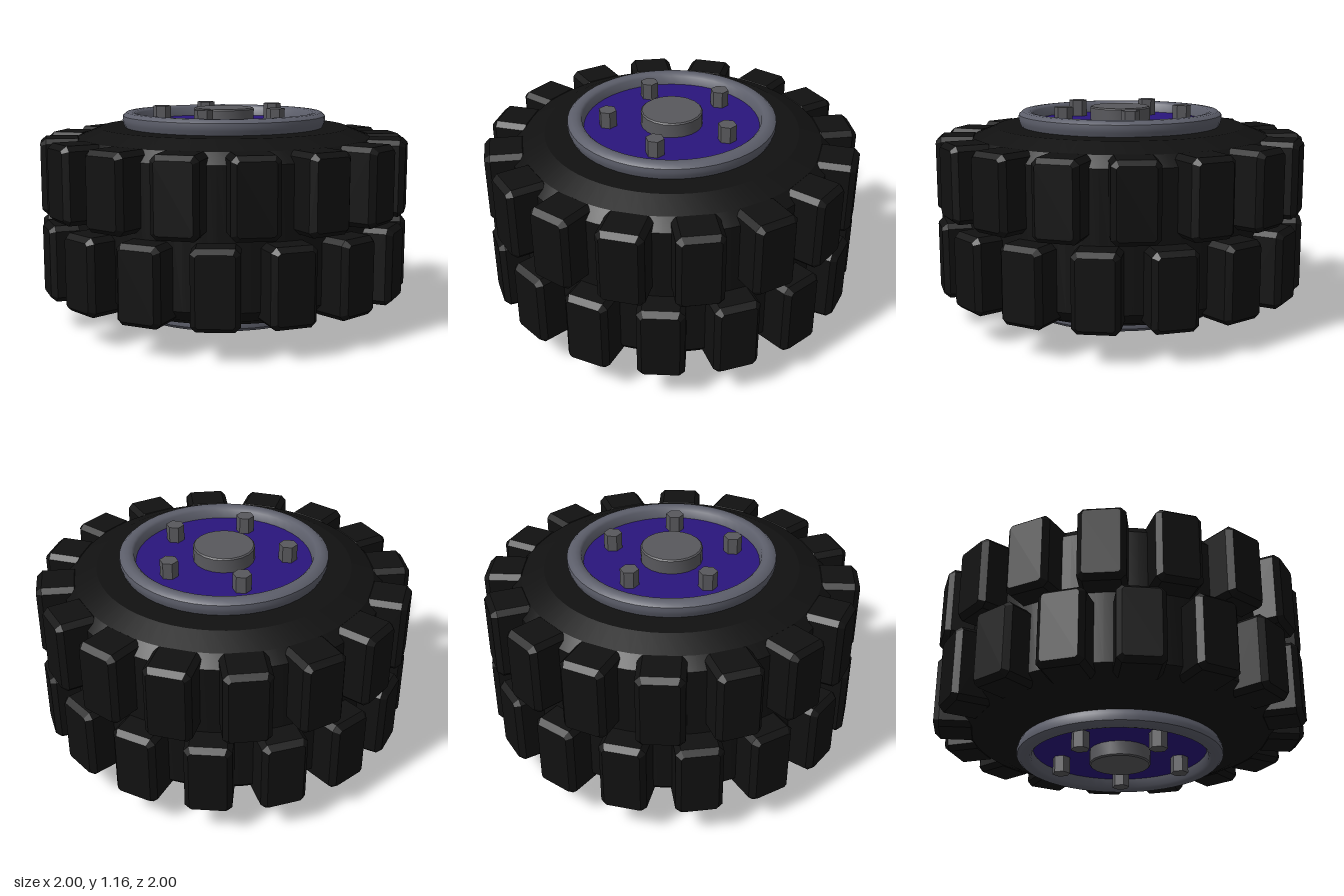
import * as THREE from 'three';
import { toCreasedNormals } from 'three/addons/utils/BufferGeometryUtils.js';

const rubber = new THREE.MeshStandardMaterial({ color: 0x111111 });
const steel = new THREE.MeshStandardMaterial({ color: 0x5c5e6a });
const boltSteel = new THREE.MeshStandardMaterial({ color: 0x58585c });
const purple = new THREE.MeshStandardMaterial({ color: 0x2a157c });

const LUGS = 16;
const BOLTS = 5;

function part(name, geometry, material, parent) {
  const mesh = new THREE.Mesh(geometry, material);
  mesh.name = name;
  parent.add(mesh);
  return mesh;
}

// Profile of [radius, height] pairs turned about the axle, with sharp edges kept
function turned(points, segments, crease) {
  const profile = points.map(([r, y]) => new THREE.Vector2(r, y));
  return toCreasedNormals(new THREE.LatheGeometry(profile, segments), crease);
}

// Tread block with bevelled edges, pointing along +z
function lugGeometry() {
  const w = 0.095, h = 0.178, c = 0.012, bevel = 0.025;
  const shape = new THREE.Shape([
    [-w + c, -h], [w - c, -h], [w, -h + c], [w, h - c],
    [w - c, h], [-w + c, h], [-w, h - c], [-w, -h + c],
  ].map(([x, y]) => new THREE.Vector2(x, y)));
  const g = new THREE.ExtrudeGeometry(shape, {
    depth: 0.17, bevelEnabled: true, bevelSegments: 1, bevelSize: bevel, bevelThickness: 0.03,
  });
  return g.translate(0, 0, 0.8);
}

// One face of the wheel: rim, disc, hub and bolts, looking up from the mid-plane
function wheelFace(name) {
  const face = new THREE.Group();
  face.name = name;
  part('rimRing', turned([
    [0.535, 0.45], [0.553, 0.49], [0.557, 0.51], [0.555, 0.53], [0.535, 0.548],
    [0.51, 0.55], [0.49, 0.546], [0.478, 0.535], [0.467, 0.48],
  ], 48, 0.7), steel, face);

  part('rimDisc', new THREE.CylinderGeometry(0.47, 0.47, 0.1, 48).translate(0, 0.44, 0), purple, face);
  part('hub', turned([[0.165, 0.48], [0.165, 0.563], [0.158, 0.57], [0, 0.57]], 20, 0.5), boltSteel, face);

  const boltShape = new THREE.CylinderGeometry(0.049, 0.049, 0.1, 6);
  boltShape.translate(0, 0.53, 0);
  const bolt = toCreasedNormals(boltShape, 0.3);
  for (let i = 0; i < BOLTS; i++) {
    const a = (i / BOLTS) * Math.PI * 2;
    part('bolt', bolt, boltSteel, face).position.set(0.34 * Math.cos(a), 0, 0.34 * Math.sin(a));
  }
  return face;
}

export function createModel() {
  const wheel = new THREE.Group();
  wheel.name = 'wheel';
  const body = new THREE.Group();
  body.name = 'wheelBody';
  body.position.y = 0.58;
  wheel.add(body);

  // Tyre carcass with sloped shoulders
  part('tyre', turned([
    [0.45, -0.468], [0.68, -0.468], [0.8, -0.418], [0.855, -0.36],
    [0.855, 0.36], [0.8, 0.418], [0.68, 0.468], [0.45, 0.468],
  ], 64, 0.35), rubber, body);

  // Two rows of tread blocks, staggered by half a step
  const lug = lugGeometry();
  for (const [name, y, offset] of [['upperTread', 0.218, 0], ['lowerTread', -0.218, 0.5]]) {
    const row = new THREE.Group();
    row.name = name;
    row.position.y = y;
    for (let i = 0; i < LUGS; i++) {
      part('treadBlock', lug, rubber, row).rotation.y = ((i + offset) / LUGS) * Math.PI * 2;
    }
    body.add(row);
  }

  // Matching faces on both sides
  body.add(wheelFace('upperFace'));
  const lower = wheelFace('lowerFace');
  lower.rotation.x = Math.PI;
  body.add(lower);

  return wheel;
}
